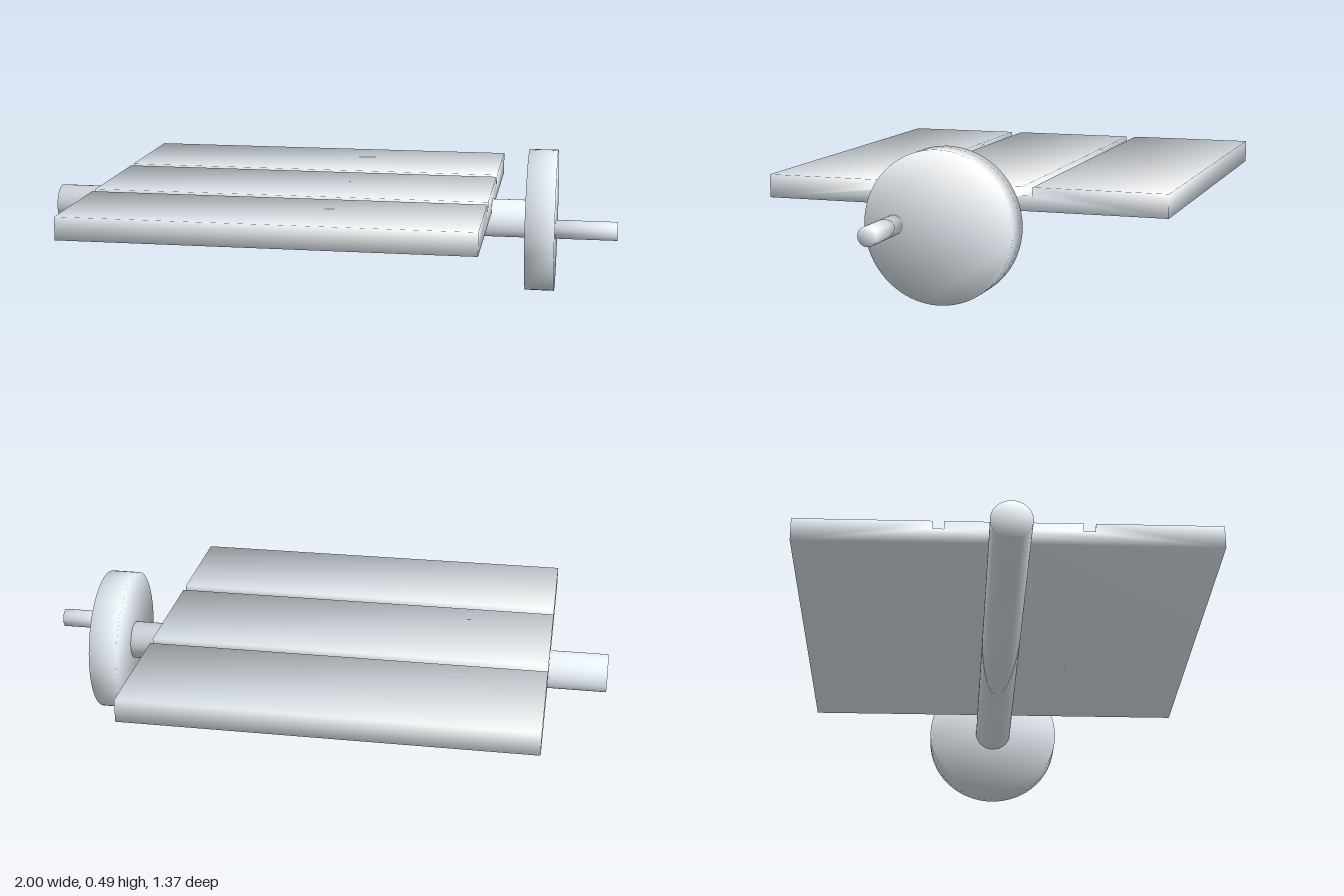
import * as THREE from 'three';
import { mergeVertices } from 'three/addons/utils/BufferGeometryUtils.js';

const material = new THREE.MeshStandardMaterial({ color: 0xf0f8ff });
const AXIS_Y = 0.247;

// Weld corners and average face normals weighted by corner angle, for soft edges.
function softNormals(source) {
  source.deleteAttribute('uv');
  source.deleteAttribute('normal');
  const geometry = mergeVertices(source, 1e-5);
  const position = geometry.attributes.position;
  const points = Array.from({ length: position.count },
    (_, i) => new THREE.Vector3().fromBufferAttribute(position, i));
  const normals = points.map(() => new THREE.Vector3());
  const index = geometry.index.array;
  for (let f = 0; f < index.length; f += 3) {
    const ids = [index[f], index[f + 1], index[f + 2]];
    const face = new THREE.Triangle(...ids.map((i) => points[i])).getNormal(new THREE.Vector3());
    ids.forEach((id, k) => {
      const u = points[ids[(k + 1) % 3]].clone().sub(points[id]);
      const v = points[ids[(k + 2) % 3]].clone().sub(points[id]);
      normals[id].addScaledVector(face, u.angleTo(v));
    });
  }
  const flat = normals.flatMap((n) => n.normalize().toArray());
  geometry.setAttribute('normal', new THREE.Float32BufferAttribute(flat, 3));
  return geometry;
}

// Extrude a cross-section of [-z, y] points along x from x0 to x1.
function bar(name, section, x0, x1) {
  const shape = new THREE.Shape(section.map(([x, y]) => new THREE.Vector2(x, y)));
  const geometry = new THREE.ExtrudeGeometry(shape, { depth: x1 - x0, bevelEnabled: false });
  geometry.rotateY(Math.PI / 2).translate(x0, 0, 0);
  const mesh = new THREE.Mesh(softNormals(geometry), material);
  mesh.name = name;
  return mesh;
}

function disc(z, y, radius, sides = 64) {
  return Array.from({ length: sides }, (_, i) => {
    const a = (i / sides) * Math.PI * 2;
    return [radius * Math.cos(a) - z, radius * Math.sin(a) + y];
  });
}

// Plate section: flat underside, two shallow grooves in the top
function plateSection() {
  const bottom = 0.276, top = 0.354, floor = 0.326;
  const points = [[-0.683, bottom], [0.683, bottom], [0.683, top]];
  for (const [a, b] of [[0.24, 0.204], [-0.236, -0.275]]) {
    points.push([a, top], [a, floor], [b, floor], [b, top]);
  }
  points.push([-0.683, top]);
  return points;
}

export function createModel() {
  const group = new THREE.Group();
  group.name = 'crankedPlate';
  group.add(
    bar('groovedPlate', plateSection(), -0.8, 0.567),
    bar('shaft', disc(0, AXIS_Y + 0.002, 0.066), -1, 0.69),
    bar('crankWheel', disc(0, AXIS_Y, 0.246), 0.69, 0.79),
    bar('crankHandle', disc(0.147, AXIS_Y + 0.002, 0.032), 0.79, 1),
  );
  return group;
}
